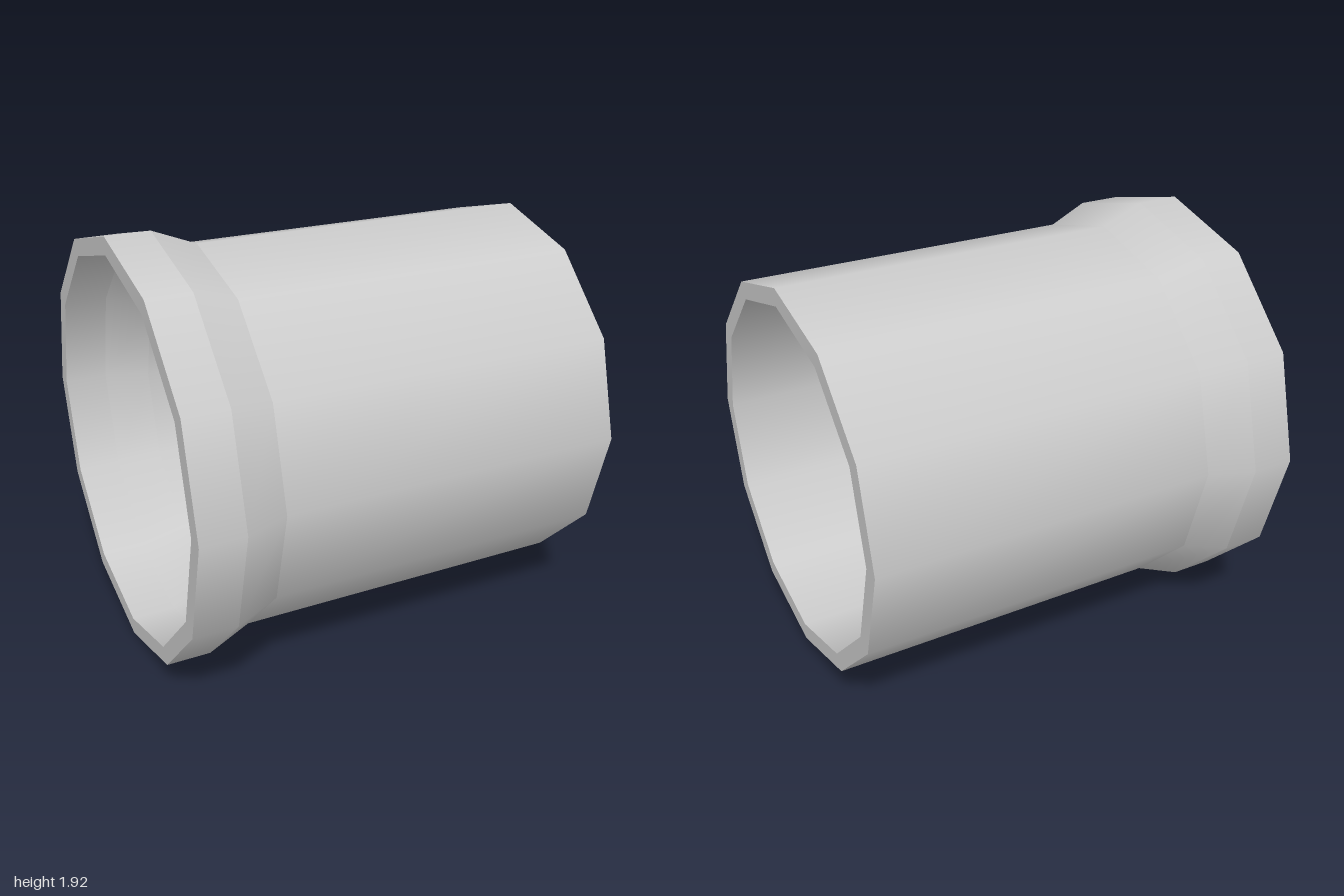
import * as THREE from 'three';
import { mergeGeometries } from 'three/addons/utils/BufferGeometryUtils.js';

const SIDES = 12;

// Closed wall section: [radius, position along the pipe]
const OUTER = [[0.96, -1], [0.96, -0.8], [0.88, -0.6], [0.88, 1]];
const INNER = [[0.8, 1], [0.8, -0.6], [0.88, -0.8], [0.88, -1]];

// Smooth around the pipe, with a hard edge between neighbouring bands
function bands(profile) {
  const parts = [];
  for (let i = 0; i < profile.length - 1; i++) {
    const ends = [profile[i], profile[i + 1]].map(([r, y]) => new THREE.Vector2(r, y));
    parts.push(new THREE.LatheGeometry(ends, SIDES));
  }
  return mergeGeometries(parts).rotateZ(-Math.PI / 2);
}

export function createModel() {
  const group = new THREE.Group();
  group.name = 'pipeSocket';
  const material = new THREE.MeshStandardMaterial({ color: 0xcccccc });

  const add = (name, profile) => {
    const mesh = new THREE.Mesh(bands(profile), material);
    mesh.name = name;
    mesh.position.y = 0.96;
    group.add(mesh);
  };

  add('outerWall', OUTER);
  add('plainEndRim', [OUTER[3], INNER[0]]);
  add('innerWall', INNER);
  add('flaredEndRim', [INNER[3], OUTER[0]]);
  return group;
}
